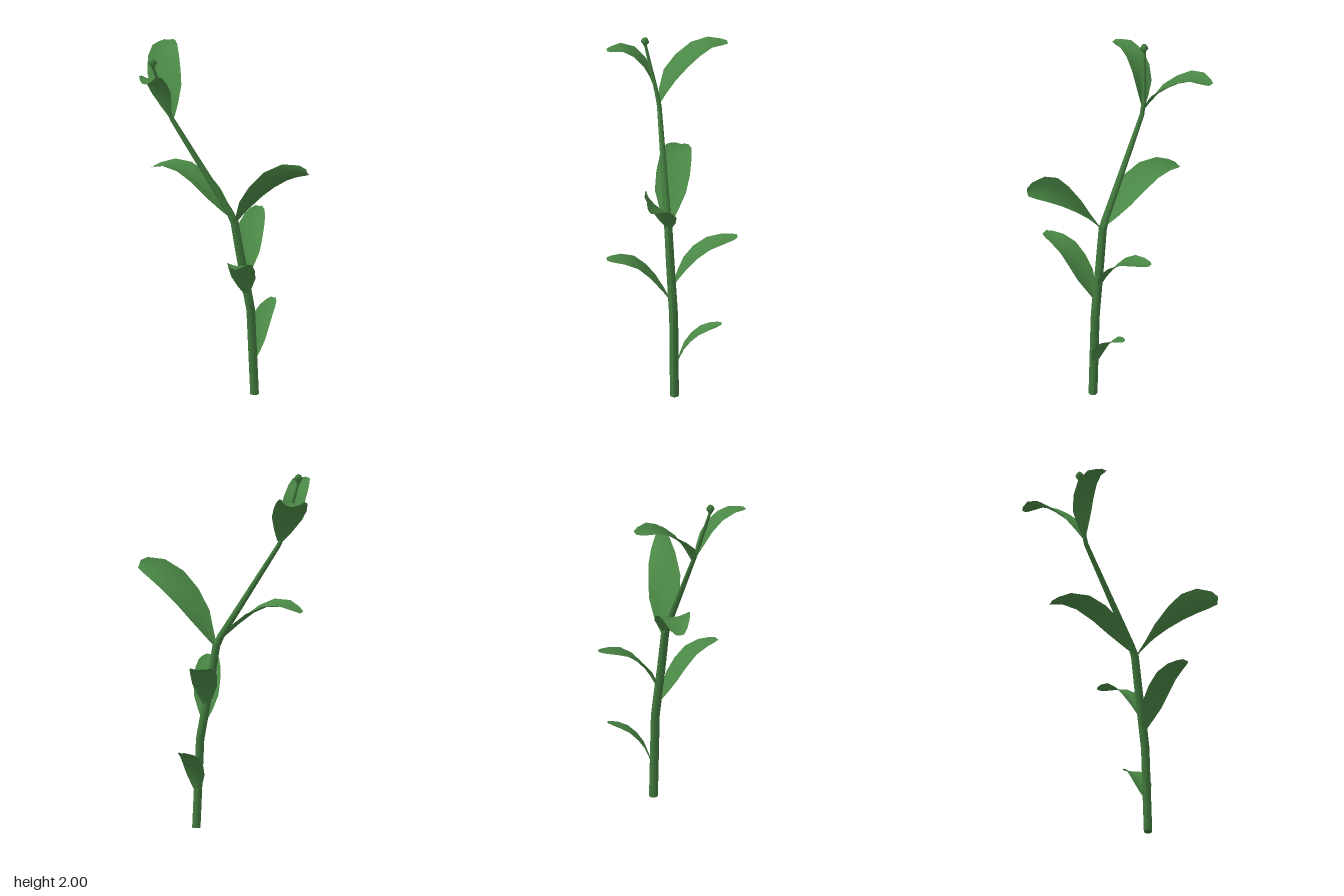
import * as THREE from 'three';

const V = (p) => new THREE.Vector3(...p);

// Turns a grid of rows x cols points into a smooth surface
function gridGeometry(points, rows, cols) {
  const pos = points.flatMap((p) => p.toArray());
  const index = [];
  for (let i = 0; i < rows - 1; i++) {
    for (let j = 0; j < cols - 1; j++) {
      const a = i * cols + j, b = a + cols;
      index.push(a, a + 1, b, a + 1, b + 1, b);
    }
  }
  const g = new THREE.BufferGeometry();
  g.setAttribute('position', new THREE.Float32BufferAttribute(pos, 3));
  g.setIndex(index);
  g.computeVertexNormals();
  return g;
}

// Cupped blade along a spine; the side direction turns from sideA to sideB
function leafGeometry({ spine, half, sideA, sideB = sideA }) {
  const curve = new THREE.CatmullRomCurve3(spine.map(V));
  const stations = [[0, 0.17], [0.13, 0.55], [0.3, 0.92], [0.48, 1], [0.66, 0.94], [0.82, 0.76], [0.94, 0.5], [1, 0.24]];
  const across = [-1, -0.5, 0, 0.5, 1];
  const points = [];
  for (const [t, w] of stations) {
    const center = curve.getPointAt(t), tangent = curve.getTangentAt(t);
    const side = V(sideA).normalize().lerp(V(sideB).normalize(), t);
    side.addScaledVector(tangent, -side.dot(tangent)).normalize();
    const up = new THREE.Vector3().crossVectors(side, tangent);
    if (up.y < 0) up.negate();
    for (const v of across) {
      points.push(center.clone()
        .addScaledVector(side, v * half * w)
        .addScaledVector(up, (v * v - 0.5) * half * w * 0.2));
    }
  }
  return gridGeometry(points, stations.length, across.length);
}

// Tapered tube through nodes [x, y, z, radius]
function stemGeometry(nodes, sides = 8) {
  const c = nodes.map((n) => V(n.slice(0, 3)));
  const points = [];
  nodes.forEach((n, i) => {
    const dir = c[Math.min(i + 1, c.length - 1)].clone().sub(c[Math.max(i - 1, 0)]).normalize();
    if (i === 0) dir.set(0, 1, 0);
    const q = new THREE.Quaternion().setFromUnitVectors(new THREE.Vector3(0, 1, 0), dir);
    for (let j = 0; j <= sides; j++) {
      const a = -(j / sides) * Math.PI * 2;
      points.push(new THREE.Vector3(Math.cos(a), 0, Math.sin(a)).multiplyScalar(n[3]).applyQuaternion(q).add(c[i]));
    }
  });
  return gridGeometry(points, nodes.length, sides + 1);
}

export function createModel() {
  const leafGreen = new THREE.MeshStandardMaterial({ color: 0x4a8745, side: THREE.DoubleSide });
  leafGreen.name = 'leafGreen';
  const stemGreen = new THREE.MeshStandardMaterial({ color: 0x417a3d });
  stemGreen.name = 'stemGreen';

  const group = new THREE.Group();
  group.name = 'plant';
  const add = (name, geometry, material) => {
    const mesh = new THREE.Mesh(geometry, material);
    mesh.name = name;
    group.add(mesh);
    return mesh;
  };

  // Stem: upright below, leaning to one side above the fork
  add('stem', stemGeometry([
    [0.155, 0, -0.055, 0.025],
    [0.135, 0.5, -0.048, 0.025],
    [0.12, 0.6, -0.04, 0.025],
    [0.085, 0.82, -0.022, 0.024],
    [0.055, 1.03, -0.007, 0.023],
    [0.03, 1.085, 0.001, 0.02],
    [-0.28, 1.61, 0.09, 0.013],
    [-0.305, 1.68, 0.108, 0.012],
    [-0.358, 1.95, 0.178, 0.008],
  ]), stemGreen);
  const base = add('stemBase', new THREE.CircleGeometry(0.025, 8), stemGreen);
  base.rotation.x = Math.PI / 2;
  base.position.set(0.155, 0, -0.055);

  // Bud at the growing tip
  const bud = add('bud', new THREE.LatheGeometry(
    [[0, -0.033], [0.024, 0.004], [0.015, 0.024], [0, 0.033]].map((p) => new THREE.Vector2(...p)), 6), stemGreen);
  bud.position.set(-0.358, 1.967, 0.18);

  // Leaves, from the ground up
  const leaves = {
    lowestBackLeaf: {
      spine: [[0.146, 0.2, -0.065], [0.142, 0.3, -0.1], [0.138, 0.375, -0.15], [0.136, 0.43, -0.21], [0.135, 0.477, -0.315]],
      half: 0.06, sideA: [1, 0, 0],
    },
    lowerFrontLeaf: {
      spine: [[0.12, 0.6, -0.025], [0.13, 0.68, 0.02], [0.15, 0.77, 0.08], [0.172, 0.85, 0.15], [0.195, 0.885, 0.22], [0.225, 0.9, 0.312]],
      half: 0.074, sideA: [1, 0, -0.3],
    },
    lowerBackLeaf: {
      spine: [[0.1, 0.69, -0.045], [0.09, 0.78, -0.085], [0.068, 0.875, -0.155], [0.045, 0.935, -0.235], [0.005, 0.975, -0.385]],
      half: 0.075, sideA: [1, 0, -0.25],
    },
    middleLeftLeaf: {
      spine: [[0.062, 1.03, -0.01], [0.14, 1.145, 0], [0.22, 1.25, 0.022], [0.34, 1.37, 0.027], [0.45, 1.43, 0.03], [0.535, 1.44, 0.035]],
      half: 0.094, sideA: [0, 0.25, 1], sideB: [0, 1, 0.55],
    },
    middleRightLeaf: {
      spine: [[0.045, 1.05, -0.005], [-0.08, 1.175, 0], [-0.2, 1.265, -0.005], [-0.3, 1.3, -0.005], [-0.38, 1.293, -0.008], [-0.455, 1.26, -0.005]],
      half: 0.094, sideA: [0, 0.06, 1],
    },
    upperBackLeaf: {
      spine: [[-0.285, 1.63, 0.09], [-0.345, 1.76, 0.04], [-0.415, 1.86, -0.055], [-0.46, 1.92, -0.15], [-0.495, 1.92, -0.262]],
      half: 0.092, sideA: [0.85, 0.12, -0.5],
    },
    upperFrontLeaf: {
      spine: [[-0.295, 1.65, 0.1], [-0.325, 1.78, 0.145], [-0.334, 1.87, 0.2], [-0.33, 1.935, 0.28], [-0.297, 1.935, 0.384]],
      half: 0.063, sideA: [1, 0, -0.15],
    },
  };
  for (const [name, spec] of Object.entries(leaves)) add(name, leafGeometry(spec), leafGreen);

  return group;
}
